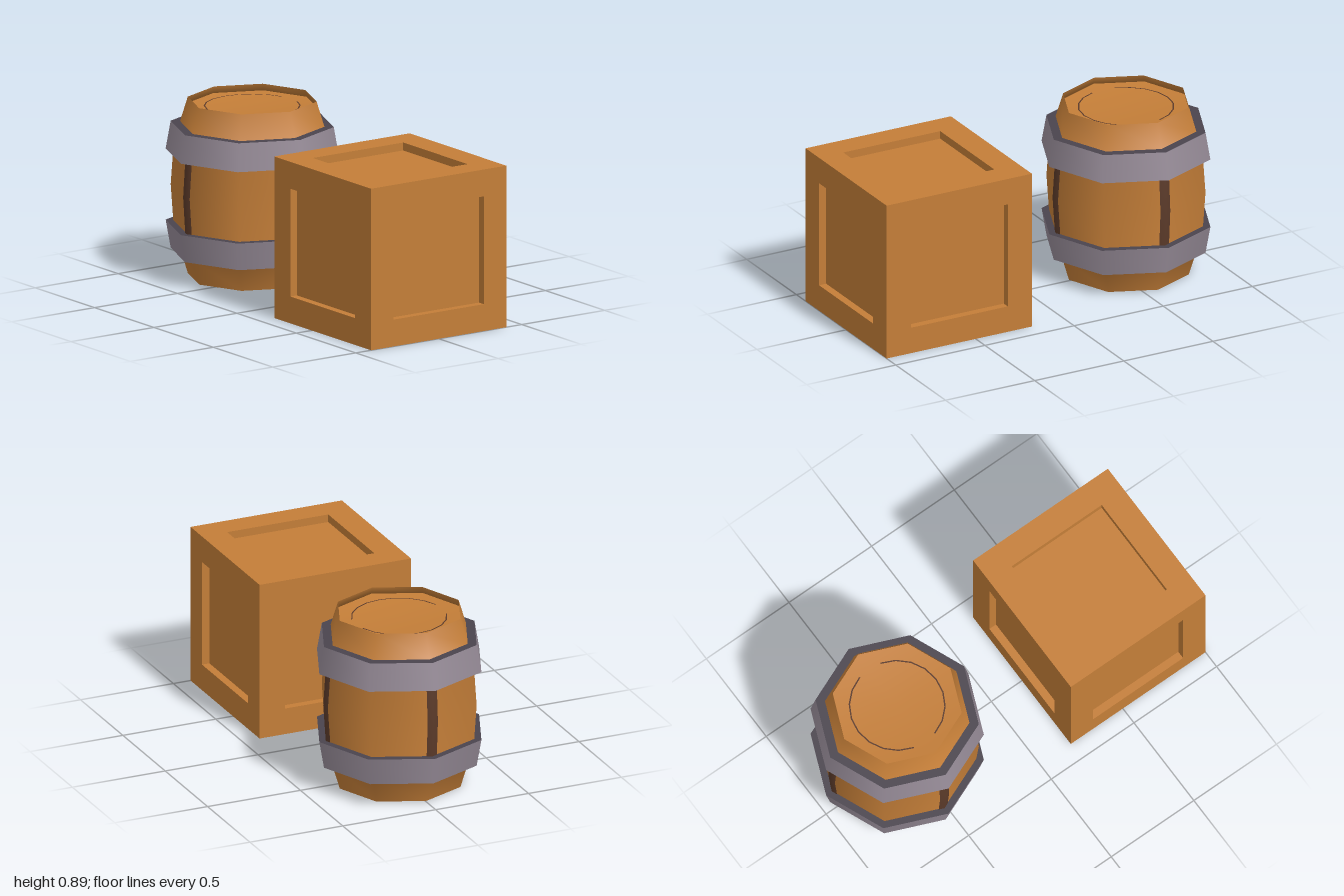
import * as THREE from 'three';
import { mergeGeometries } from 'three/addons/utils/BufferGeometryUtils.js';

const paint = (name, color) => {
  const m = new THREE.MeshStandardMaterial({ color });
  m.name = name;
  return m;
};

export function createModel() {
  const wood = paint('wood', 0xc47e38);
  const iron = paint('iron', 0x968b97);
  const darkIron = paint('darkIron', 0x4a444e);
  const darkWood = paint('darkWood', 0x5b3a29);

  const add = (parent, name, geo, mat) => {
    const mesh = new THREE.Mesh(geo, mat);
    mesh.name = name;
    parent.add(mesh);
    return mesh;
  };
  // eight-sided turned part; profile runs upwards along the outside
  const turned = (pts) => new THREE.LatheGeometry(pts.map(([r, y]) => new THREE.Vector2(r, y)), 8);

  const model = new THREE.Group();
  model.name = 'barrelAndCrate';

  // ---- Barrel ----
  const barrel = new THREE.Group();
  barrel.name = 'barrel';
  barrel.position.set(-0.57, 0.45, 0);
  model.add(barrel);

  // staves between the hoops; the hidden flanges soften the ends
  add(barrel, 'barrelMiddle', turned([
    [0.41, -0.185], [0.392, -0.185], [0.405, 0], [0.392, 0.185], [0.41, 0.185],
  ]), wood);

  // upper and lower ends with a sunken lid
  const end = [[0.39, 0.315], [0.36, 0.315], [0.32, 0.445], [0.328, 0.41], [0, 0.41]];
  add(barrel, 'barrelTop', turned(end), wood);
  add(barrel, 'barrelBottom', turned(end.map(([r, y]) => [r, -y]).reverse()), wood);

  // hoops, widest towards the middle
  const hoop = [[0.43, 0.18], [0.405, 0.32]];
  add(barrel, 'upperHoop', turned(hoop), iron);
  add(barrel, 'lowerHoop', turned(hoop.map(([r, y]) => [r, -y]).reverse()), iron);
  for (const s of [1, -1]) {
    const [lo, hi] = s > 0 ? [0.18, 0.32] : [-0.32, -0.18];
    const [rLo, rHi] = s > 0 ? [0.43, 0.405] : [0.405, 0.43];
    add(barrel, 'hoopUpperEdge', turned([[rHi, hi], [0.34, hi]]), darkIron);
    add(barrel, 'hoopLowerEdge', turned([[0.34, lo], [rLo, lo]]), darkIron);
  }

  // dark seams folded over four corners of the barrel
  const seam = new THREE.PlaneGeometry(0.055, 0.37, 2, 2);
  const p = seam.attributes.position;
  for (let i = 0; i < p.count; i++) {
    const r = 0.405 - 0.013 * Math.abs(p.getY(i)) / 0.185;
    p.setZ(i, r + 0.003 - Math.abs(p.getX(i)) * Math.tan(Math.PI / 8));
  }
  seam.computeVertexNormals();
  for (let i = 0; i < 4; i++) add(barrel, 'seam', seam, darkWood).rotation.y = i * Math.PI / 2;

  // fine curved joints on both lids
  for (const s of [1, -1]) {
    for (const start of [-1.3, Math.PI - 1.3]) {
      const joint = add(barrel, 'lidJoint', new THREE.RingGeometry(0.231, 0.238, 8, 1, start, 2.6), darkWood);
      joint.rotation.x = -s * Math.PI / 2;
      joint.position.y = s * 0.413;
    }
  }

  // ---- Crate ----
  const half = 0.4075, inner = 0.272, depth = 0.04;
  const square = (PathType, a) => new PathType().moveTo(-a, -a).lineTo(a, -a).lineTo(a, a).lineTo(-a, a).closePath();
  const outline = square(THREE.Shape, half);
  outline.holes.push(square(THREE.Path, inner));

  // one face: border, four inner walls and sunken panel
  const pieces = [
    new THREE.ShapeGeometry(outline).translate(0, 0, half),
    new THREE.PlaneGeometry(inner * 2, inner * 2).translate(0, 0, half - depth),
  ];
  for (let i = 0; i < 4; i++) {
    pieces.push(new THREE.PlaneGeometry(inner * 2, depth).rotateX(-Math.PI / 2)
      .translate(0, -inner, half - depth / 2).rotateZ(i * Math.PI / 2));
  }
  const face = mergeGeometries(pieces);

  const crate = new THREE.Group();
  crate.name = 'crate';
  crate.position.set(0.5925, half, 0);
  model.add(crate);
  for (let i = 0; i < 4; i++) add(crate, 'crateSide', face, wood).rotation.y = i * Math.PI / 2;
  add(crate, 'crateTop', face, wood).rotation.x = -Math.PI / 2;
  add(crate, 'crateBottom', face, wood).rotation.x = Math.PI / 2;

  return model;
}
